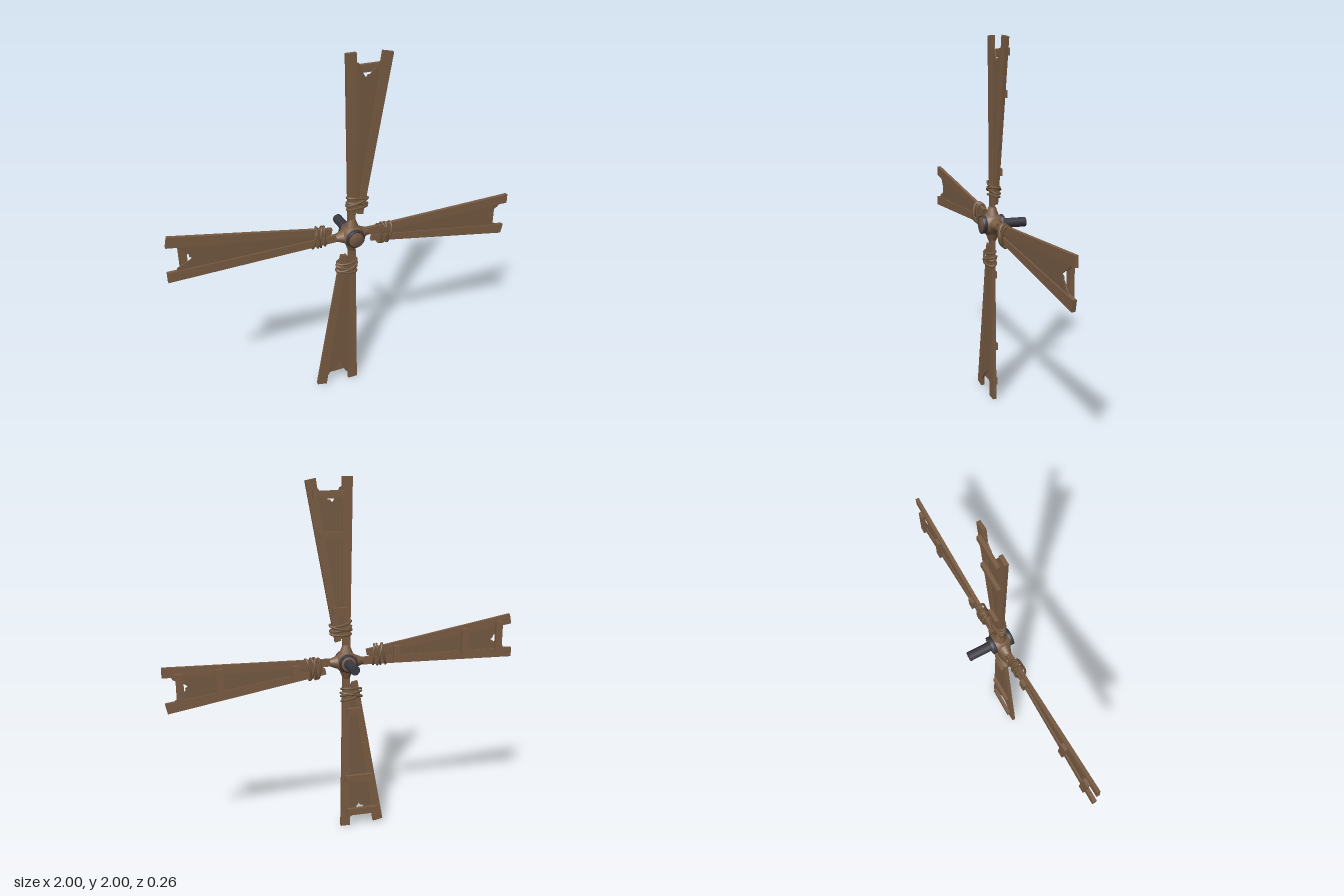
import * as THREE from 'three';

const material = (name, color, extra = {}) => {
  const m = new THREE.MeshStandardMaterial({ color, ...extra });
  m.name = name;
  return m;
};

export function createModel() {
  const wood = material('weathered wood', 0x7a5c43);
  const cloth = material('brown sailcloth', 0x745a42, { side: THREE.DoubleSide });
  const rope = material('rope', 0x73583e);
  const iron = material('dark iron', 0x3b3941);

  const add = (parent, name, geometry, mat) => {
    const mesh = new THREE.Mesh(geometry, mat);
    mesh.name = name;
    parent.add(mesh);
    return mesh;
  };

  // Flat board with the given outline, from z0 to z1
  const plate = (points, z0, z1) => {
    const shape = new THREE.Shape(points.map(([x, y]) => new THREE.Vector2(x, y)));
    return new THREE.ExtrudeGeometry(shape, { depth: z1 - z0, bevelEnabled: false }).translate(0, 0, z0);
  };

  // Oval rope loop wound around the spars, tilted by the given angle
  const ropeLoop = (x, y, halfWidth, halfDepth, tilt) => {
    const points = [];
    for (let i = 0; i < 16; i++) {
      const a = (i / 16) * Math.PI * 2;
      const dx = Math.cos(a) * halfWidth;
      points.push(new THREE.Vector3(
        x + dx, y + dx * Math.tan(tilt) + Math.sin(a) * 0.007, 0.066 + Math.sin(a) * halfDepth));
    }
    return new THREE.TubeGeometry(new THREE.CatmullRomCurve3(points, true), 32, 0.0065, 6, true);
  };

  // One sail pointing up, measured from the hub centre
  const makeSail = () => {
    const sail = new THREE.Group();
    sail.name = 'sail';

    add(sail, 'mainSpar',
      plate([[-0.02, 0], [0.02, 0], [0.02, 1], [-0.035, 1]], 0.053, 0.073), wood);
    add(sail, 'slantedSpar',
      plate([[0.03, 0.122], [0.064, 0.115], [0.22, 0.98], [0.163, 0.992]], 0.053, 0.073), wood);

    // Cloth with a sagging, torn outer edge
    add(sail, 'sailCloth', plate([
      [0.005, 0.13], [0.045, 0.13], [0.18, 0.955], [0.162, 0.953], [0.15, 0.938], [0.14, 0.92],
      [0.107, 0.895], [0.098, 0.882], [0.085, 0.882], [0.075, 0.867], [0.06, 0.89],
      [0.045, 0.925], [0.035, 0.945], [0.01, 0.957],
    ], 0.06, 0.066), cloth);

    // Slats nailed across the back
    for (const [y, x0, x1] of [[0.91, 0.0, 0.183], [0.7, -0.012, 0.152], [0.29, 0.0, 0.078]]) {
      const slat = add(sail, 'slat', new THREE.BoxGeometry(x1 - x0, 0.04, 0.02), wood);
      slat.position.set((x0 + x1) / 2, y, 0.044);
    }

    // Lashing of rope holding both spars together
    for (const [y, w, d, tilt] of [
      [0.217, 0.058, 0.028, -0.22], [0.195, 0.062, 0.03, 0.22],
      [0.188, 0.06, 0.027, -0.2], [0.16, 0.058, 0.025, 0.04],
    ]) add(sail, 'ropeLoop', ropeLoop(0.03, y, w, d, tilt), rope);

    // Tapered socket where the spar enters the hub
    const socket = add(sail, 'spokeSocket', new THREE.CylinderGeometry(0.02, 0.042, 0.055, 10), wood);
    socket.position.set(0, 0.068, 0.063);
    return sail;
  };

  const model = new THREE.Group();
  model.name = 'windmillSails';
  const rotor = new THREE.Group();
  rotor.name = 'rotor';
  rotor.position.y = 1;
  model.add(rotor);

  for (let i = 0; i < 4; i++) {
    const sail = makeSail();
    sail.rotation.z = (-i * Math.PI) / 2;
    rotor.add(sail);
  }

  // Barrel-shaped hub along z
  const profile = [[0, 0.004], [0.042, 0.004], [0.046, 0.02], [0.06, 0.035], [0.063, 0.063],
    [0.06, 0.092], [0.046, 0.108], [0.043, 0.128], [0, 0.128]];
  add(rotor, 'hub', new THREE.LatheGeometry(
    profile.map(([r, z]) => new THREE.Vector2(r, z)), 20).rotateX(Math.PI / 2), wood);

  // Iron bands round both ends of the hub
  for (const z of [0.013, 0.117]) {
    const band = [[0.041, -0.011], [0.05, -0.011], [0.05, 0.011], [0.041, 0.011], [0.041, -0.011]];
    add(rotor, 'hubBand', new THREE.LatheGeometry(
      band.map(([r, h]) => new THREE.Vector2(r, h)), 20).rotateX(Math.PI / 2), iron).position.z = z;
  }

  // Axle behind the hub
  const axle = add(rotor, 'axle',
    new THREE.CylinderGeometry(0.027, 0.027, 0.14, 12).rotateX(Math.PI / 2), iron);
  axle.position.z = -0.06;

  return model;
}
